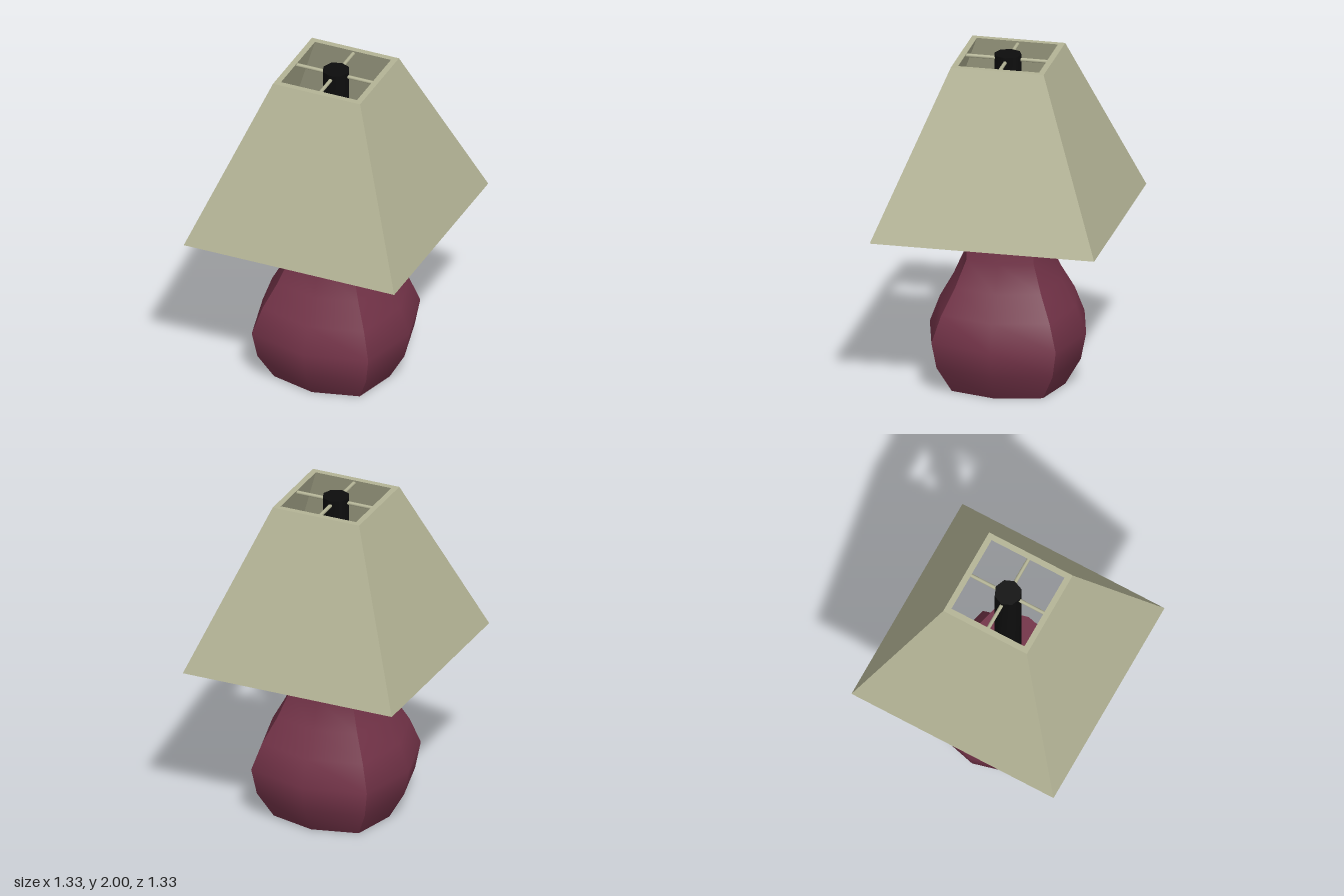
import * as THREE from 'three';
import { toCreasedNormals } from 'three/addons/utils/BufferGeometryUtils.js';

const points = (list) => list.map(([r, y]) => new THREE.Vector2(r, y));

function addPart(parent, name, geometry, color, flatShading = false) {
  const mesh = new THREE.Mesh(geometry, new THREE.MeshStandardMaterial({ color, flatShading }));
  mesh.name = name;
  parent.add(mesh);
  return mesh;
}

// Eight-sided vase whose diagonal corners are pushed out towards a square
function vaseGeometry() {
  const geometry = new THREE.LatheGeometry(points([
    [0, 0], [0.34, 0], [0.432, 0.16], [0.463, 0.32], [0.403, 0.48],
    [0.32, 0.63], [0.25, 0.79], [0.25, 0.985], [0, 0.985],
  ]), 8);
  const pos = geometry.attributes.position;
  for (let i = 0; i < pos.count; i++) {
    const x = pos.getX(i), z = pos.getZ(i);
    const r = Math.hypot(x, z);
    const diagonal = r > 0 && Math.abs(x * z) / (r * r) > 0.25;
    if (diagonal) {
      pos.setX(i, Math.sign(x) * r * 0.795);
      pos.setZ(i, Math.sign(z) * r * 0.795);
    }
  }
  return toCreasedNormals(geometry, Math.PI / 4);
}

// Hollow square pyramid frustum, half-widths given per ring
function shadeGeometry() {
  const rings = [[0.625, 1.015], [0.665, 1.015], [0.275, 1.99], [0.24, 1.99], [0.625, 1.015]];
  return new THREE.LatheGeometry(
    points(rings.map(([half, y]) => [half * Math.SQRT2, y])), 4, Math.PI / 4);
}

export function createModel() {
  const lamp = new THREE.Group();
  lamp.name = 'tableLamp';
  const shadeColor = 0xb4b496;

  addPart(lamp, 'base', vaseGeometry(), 0x733348);

  // Stem running from the base through the shade
  const stem = new THREE.CylinderGeometry(0.08, 0.08, 1.02, 8);
  addPart(lamp, 'stem', toCreasedNormals(stem, Math.PI / 3), 0x0d0d0d).position.y = 1.49;

  addPart(lamp, 'shade', shadeGeometry(), shadeColor, true);

  // Four spokes holding the shade to the stem
  for (let i = 0; i < 4; i++) {
    const spoke = new THREE.CylinderGeometry(0.011, 0.011, 0.19, 8);
    spoke.rotateX(Math.PI / 2).translate(0, 1.97, 0.16).rotateY(i * Math.PI / 2);
    addPart(lamp, 'spoke', spoke, shadeColor);
  }
  return lamp;
}
